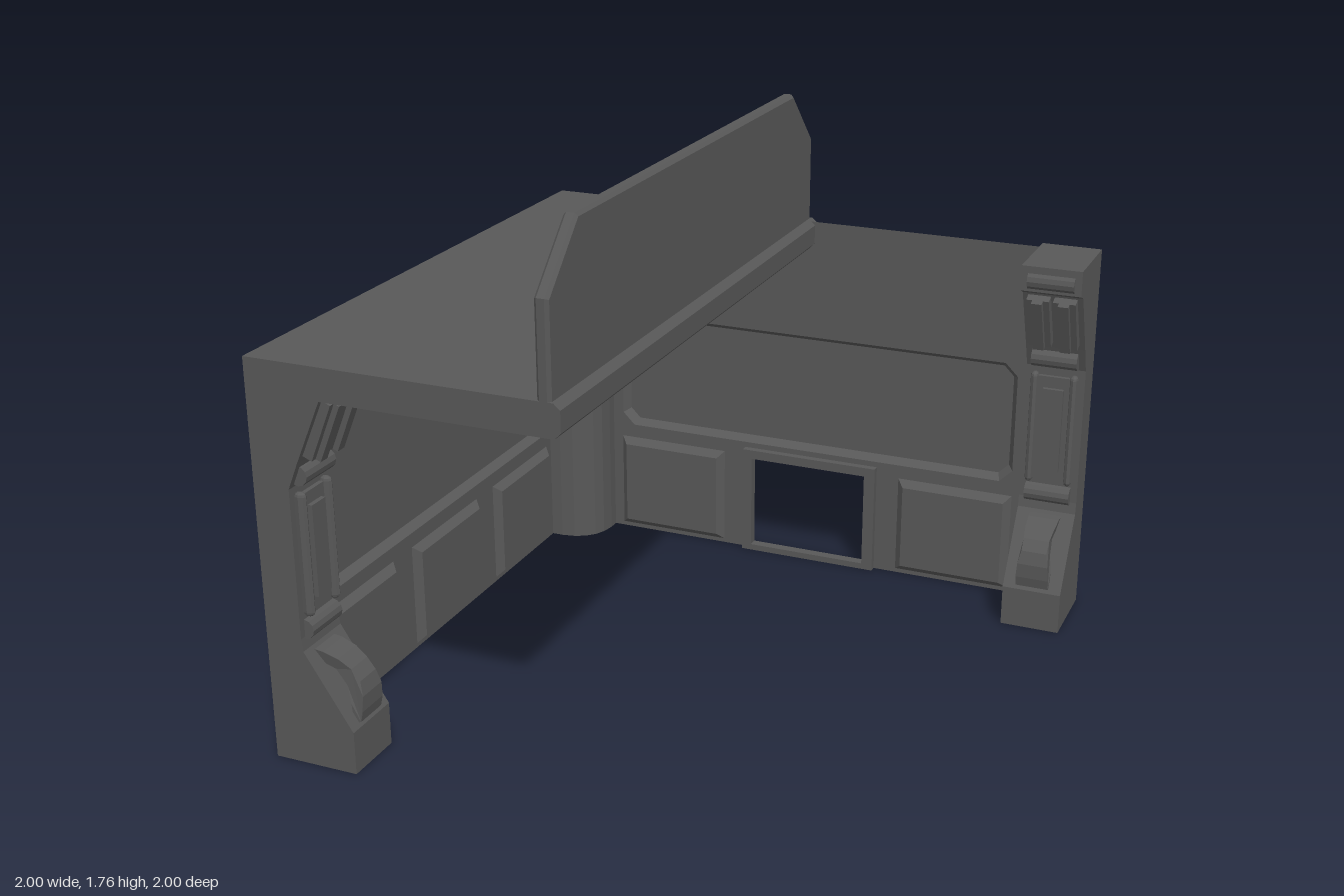
import * as THREE from 'three';

const mat = new THREE.MeshStandardMaterial({ color: 0x585858, flatShading: true, side: THREE.DoubleSide });

function add(parent, geometry, name, x = 0, y = 0, z = 0) {
  const mesh = new THREE.Mesh(geometry, mat);
  mesh.name = name;
  mesh.position.set(x, y, z);
  parent.add(mesh);
  return mesh;
}

const toShape = (pts) => new THREE.Shape(pts.map(([x, y]) => new THREE.Vector2(x, y)));

// strip of quads between two rows of points
function loft(a, b, closed = false) {
  const pos = [];
  const n = a.length;
  for (let i = 0; i < (closed ? n : n - 1); i++) {
    const j = (i + 1) % n;
    pos.push(...a[i], ...a[j], ...b[j], ...a[i], ...b[j], ...b[i]);
  }
  const g = new THREE.BufferGeometry();
  g.setAttribute('position', new THREE.Float32BufferAttribute(pos, 3));
  g.computeVertexNormals();
  return g;
}

// rectangle with cut corners, counter-clockwise
function cutRect(x0, x1, y0, y1, c) {
  if (!c) return [[x0, y0], [x1, y0], [x1, y1], [x0, y1]];
  return [[x0 + c, y0], [x1 - c, y0], [x1, y0 + c], [x1, y1 - c],
    [x1 - c, y1], [x0 + c, y1], [x0, y1 - c], [x0, y0 + c]];
}

// bevelled panel pressed in or out of a wall sheet
function panel(parent, name, [x0, x1, y0, y1], cut, inset, z0, z1) {
  const outer = cutRect(x0, x1, y0, y1, cut);
  const inner = cutRect(x0 + inset, x1 - inset, y0 + inset, y1 - inset, cut * 0.8);
  add(parent, loft(outer.map((p) => [...p, z0]), inner.map((p) => [...p, z1]), true), name + 'Bevel');
  add(parent, new THREE.ShapeGeometry(toShape(inner)), name + 'Face', 0, 0, z1);
  return toShape(outer);
}

// wall sheet facing +z, with an upper panel and three lower bays
function makeWall(name, hasWindow) {
  const wall = new THREE.Group();
  wall.name = name;
  const sheet = toShape(cutRect(-0.8, 0.8, 0, 1.285, 0));
  const z = 0.03;
  sheet.holes.push(panel(wall, 'upperPanel', [-0.75, 0.75, 0.42, 0.86], 0.045, 0.02, z, 0));
  for (const cx of [-0.545, 0, 0.545]) {
    if (hasWindow && cx === 0) continue;
    const w = cx === 0 ? 0.22 : 0.208;
    sheet.holes.push(panel(wall, 'lowerPanel', [cx - w, cx + w, 0.015, 0.37], 0, 0.024, z, 0.055));
  }
  if (hasWindow) {
    const opening = cutRect(-0.22, 0.215, 0.022, 0.367, 0);
    sheet.holes.push(toShape(opening));
    const frame = toShape(cutRect(-0.255, 0.255, 0, 0.4, 0));
    frame.holes.push(toShape(opening));
    add(wall, new THREE.ExtrudeGeometry(frame, { depth: 0.035, bevelEnabled: false }), 'windowFrame', 0, 0, 0.02);
  }
  add(wall, new THREE.ShapeGeometry(sheet), 'wallSheet', 0, 0, z);
  return wall;
}

// pillar against a wall: hollow shell (open back and bottom) with fittings on its face
function makePillar(name) {
  const pillar = new THREE.Group();
  pillar.name = name;
  const profile = [[0.28, 0], [0.28, 0.14], [0.125, 0.38], [0.12, 0.42], [0.12, 0.9], [0.155, 0.985],
    [0.245, 1.19], [0.28, 1.205], [0.28, 1.29], [0, 1.29]];
  const row = (x) => profile.map(([d, y]) => [x, y, d]);
  add(pillar, loft(row(0.1), row(-0.1)), 'pillarFace');
  const side = new THREE.ShapeGeometry(toShape([...profile, [0, 0]])).rotateY(-Math.PI / 2);
  for (const s of [-1, 1]) add(pillar, side, 'pillarSide', s * 0.1);

  // fitting lying along the face from (d0,y0) to (d1,y1)
  const fit = (fitName, x, w, [d0, y0], [d1, y1], t) => {
    const m = add(pillar, new THREE.BoxGeometry(w, Math.hypot(d1 - d0, y1 - y0), t), fitName,
      x, (y0 + y1) / 2, (d0 + d1) / 2);
    m.rotation.x = Math.atan2(d1 - d0, y1 - y0);
  };
  for (const s of [-1, 1]) {
    fit('upperSlab', s * 0.044, 0.075, [0.175, 1.0], [0.25, 1.18], 0.04);
    fit('slabRib', s * 0.044, 0.035, [0.187, 0.995], [0.262, 1.175], 0.05);
    const rail = add(pillar, new THREE.CapsuleGeometry(0.014, 0.37, 3, 8), 'rail', s * 0.067, 0.685, 0.135);
    rail.scale.z = 1.4;
  }
  // half-sunk round bars
  for (const [d, y] of [[0.12, 0.443], [0.137, 0.937], [0.262, 1.24]]) {
    const bar = new THREE.CylinderGeometry(0.032, 0.032, 0.155, 12).rotateZ(Math.PI / 2);
    add(pillar, bar, 'crossBar', 0, y, d);
  }
  fit('middlePlate', 0, 0.11, [0.12, 0.5], [0.12, 0.87], 0.03);
  fit('middlePlateBoss', 0, 0.07, [0.13, 0.535], [0.13, 0.83], 0.04);

  // arched grip, pinched at its waist
  const arch = toShape([[0.12, 0.37], [0.16, 0.365], [0.21, 0.348], [0.25, 0.32], [0.278, 0.285], [0.29, 0.24],
    [0.288, 0.19], [0.28, 0.155], [0.255, 0.145], [0.25, 0.21], [0.235, 0.265], [0.195, 0.31], [0.13, 0.335]]);
  const grip = new THREE.ExtrudeGeometry(arch, { depth: 0.1, bevelEnabled: false })
    .rotateY(-Math.PI / 2).translate(0.05, 0, 0);
  const p = grip.attributes.position;
  for (let i = 0; i < p.count; i++) {
    const pinch = 0.8 + 4 * Math.abs(p.getY(i) - 0.3);
    p.setX(i, p.getX(i) * Math.min(pinch, 1.12));
  }
  grip.computeVertexNormals();
  add(pillar, grip, 'grip');
  return pillar;
}

export function createModel() {
  const model = new THREE.Group();
  model.name = 'cornerRoom';

  // two walls meeting at the far corner
  const backWall = makeWall('backWall', true);
  backWall.position.z = -1;
  const sideWall = makeWall('sideWall', false);
  sideWall.position.x = -1;
  sideWall.rotation.y = Math.PI / 2;

  // a pillar at the free end of each wall
  const backPillar = makePillar('backPillar');
  backPillar.position.set(0.9, 0, -1);
  const sidePillar = makePillar('sidePillar');
  sidePillar.position.set(-1, 0, 0.9);
  sidePillar.rotation.y = Math.PI / 2;
  model.add(backWall, sideWall, backPillar, sidePillar);

  // faceted column in the corner
  const curve = new THREE.QuadraticBezierCurve(
    new THREE.Vector2(-0.93, -0.79), new THREE.Vector2(-0.8, -0.8), new THREE.Vector2(-0.79, -0.93));
  const plan = [[-0.97, -0.79], ...curve.getPoints(5).map((v) => [v.x, v.y]), [-0.79, -0.97]];
  add(model, loft(plan.map(([x, z]) => [x, 0, z]), plan.map(([x, z]) => [x, 1.2, z])), 'cornerColumn');

  // roof slab over half the room, with a bevelled free edge
  const roof = toShape([[-1, 1.187], [-0.02, 1.187], [0, 1.207], [0, 1.272], [-0.02, 1.29], [-1, 1.29]]);
  add(model, new THREE.ExtrudeGeometry(roof, { depth: 2, bevelEnabled: false }), 'roof', 0, 0, -1);

  // upright fin along the roof edge
  const fin = toShape([[-0.99, 1.28], [0.99, 1.28], [0.99, 1.572], [0.81, 1.75], [-0.81, 1.75], [-0.99, 1.572]]);
  const finGeo = new THREE.ExtrudeGeometry(fin,
    { depth: 0.024, bevelThickness: 0.01, bevelSize: 0.01, bevelSegments: 1 }).rotateY(-Math.PI / 2);
  add(model, finGeo, 'roofFin', -0.038);
  return model;
}
